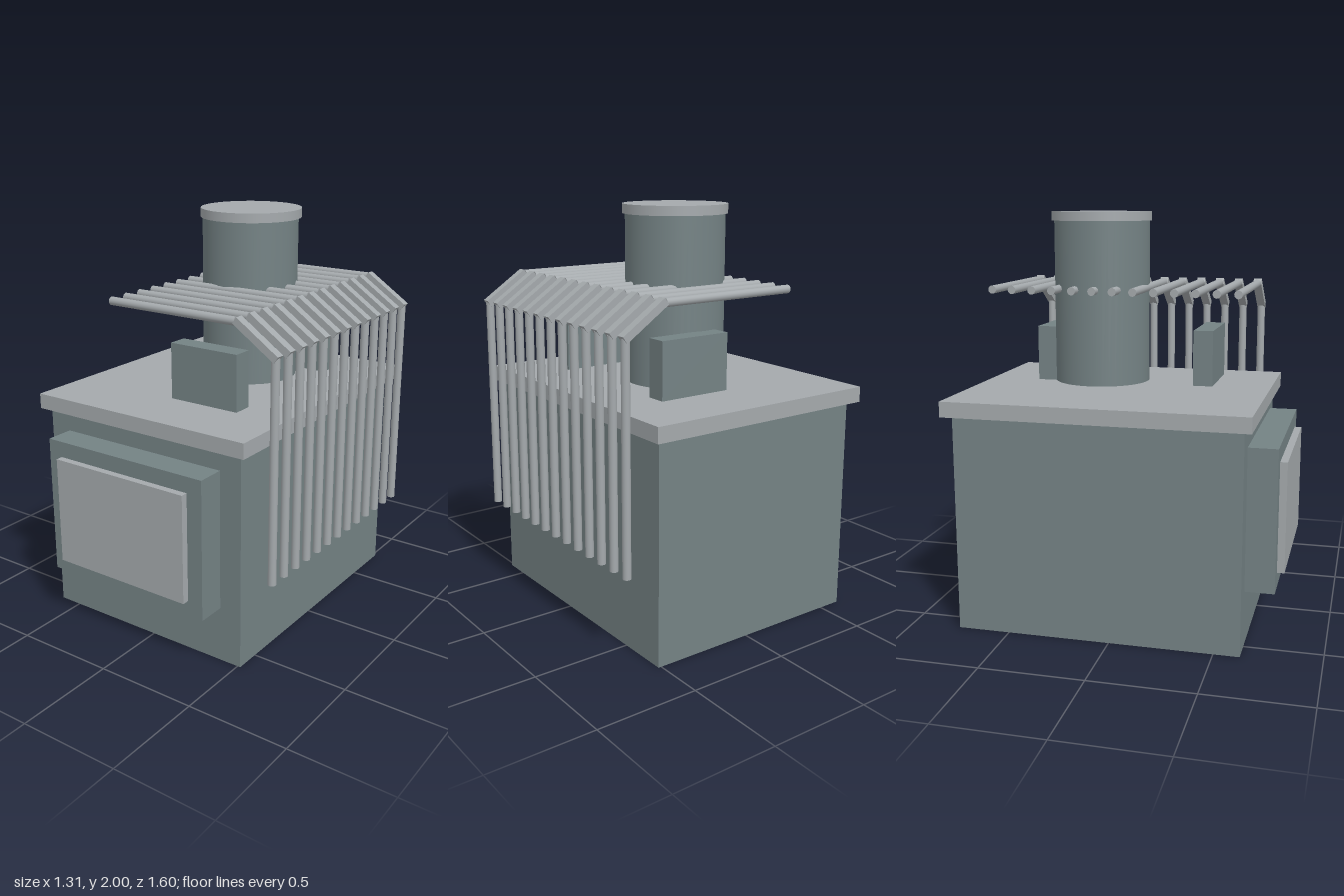
import * as THREE from 'three';

const casing = new THREE.MeshStandardMaterial({ color: 0x748284 });
casing.name = 'dark grey casing';
const steel = new THREE.MeshStandardMaterial({ color: 0xa4a9ac });
steel.name = 'light grey steel';

// Box given by its lower and upper limits on each axis
function box(name, material, [x0, x1], [y0, y1], [z0, z1]) {
  const mesh = new THREE.Mesh(new THREE.BoxGeometry(x1 - x0, y1 - y0, z1 - z0), material);
  mesh.name = name;
  mesh.position.set((x0 + x1) / 2, (y0 + y1) / 2, (z0 + z1) / 2);
  return mesh;
}

// Upright cylinder between two heights
function cylinder(name, material, radius, y0, y1, x, z, sides) {
  const mesh = new THREE.Mesh(new THREE.CylinderGeometry(radius, radius, y1 - y0, sides), material);
  mesh.name = name;
  mesh.position.set(x, (y0 + y1) / 2, z);
  return mesh;
}

// One bent rail: flat run, sloping link and hanging rod
function makeRail(z) {
  const rail = new THREE.Group();
  rail.name = 'rail';
  const radius = 0.02;

  const flat = cylinder('railTop', steel, radius, 0, 0.7, 0.075, 0, 16);
  flat.position.y = 1.625;
  flat.rotation.z = Math.PI / 2;

  const dx = 0.212, dy = -0.143;
  const link = new THREE.Mesh(new THREE.BoxGeometry(Math.hypot(dx, dy), 0.036, 0.042), steel);
  link.name = 'railSlope';
  link.position.set(0.535, 1.562, 0);
  link.rotation.z = Math.atan2(dy, dx);

  const hanging = cylinder('railRod', steel, radius, 0.43, 1.495, 0.627, 0, 16);
  rail.add(flat, link, hanging);
  rail.position.z = z;
  return rail;
}

export function createModel() {
  const model = new THREE.Group();
  model.name = 'stove';

  // Cabinet with overhanging top
  model.add(
    box('body', casing, [-0.615, 0.515], [0, 1.06], [-0.755, 0.625]),
    box('topPlate', steel, [-0.655, 0.552], [1.06, 1.135], [-0.8, 0.662]),
  );

  // Front door and its panel
  model.add(
    box('door', casing, [-0.503, 0.402], [0.275, 0.963], [0.625, 0.765]),
    box('doorPanel', steel, [-0.427, 0.322], [0.352, 0.885], [0.765, 0.8]),
  );

  // Chimney and cap
  model.add(
    cylinder('chimney', casing, 0.238, 1.157, 1.955, 0.01, -0.193, 48),
    cylinder('chimneyCap', steel, 0.25, 1.955, 2, 0.012, -0.195, 48),
  );

  // Blocks before and behind the chimney
  for (const z of [0.335, -0.47]) {
    model.add(box('block', casing, [-0.05, 0.324], [1.15, 1.425], [z - 0.049, z + 0.049]));
  }

  // Row of thirteen rails
  const rails = new THREE.Group();
  rails.name = 'rails';
  for (let i = 0; i < 13; i++) rails.add(makeRail(0.537 - i * 0.1008));
  model.add(rails);

  return model;
}
